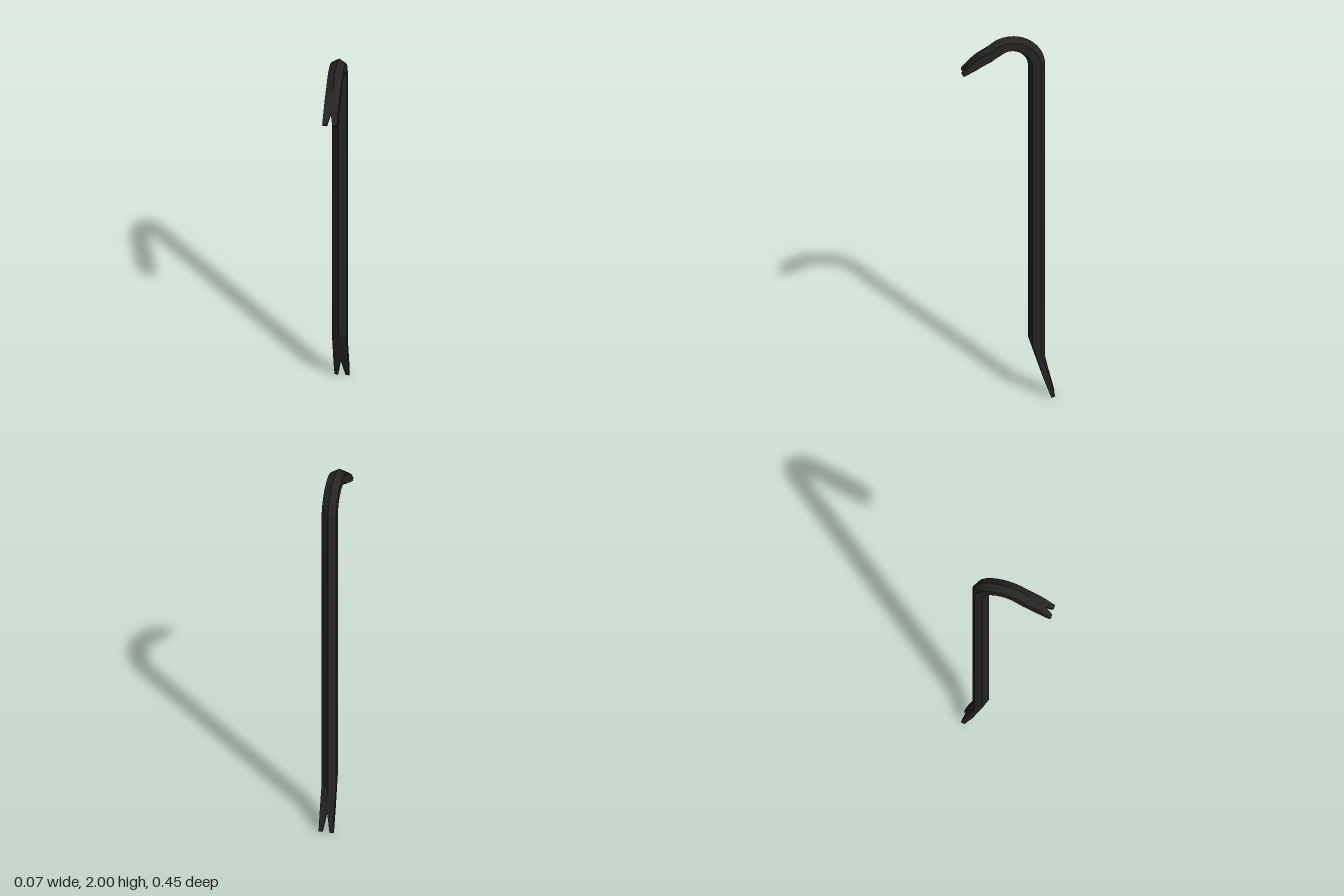
import * as THREE from 'three';
import { toCreasedNormals } from 'three/addons/utils/BufferGeometryUtils.js';

const W = 0.036;          // half width of the bar
const R = 0.0416;         // hexagon corner radius
const AXIS = -0.138;      // z of the shaft axis
const BEND_Y = 1.84, BEND_Z = -0.02, BEND_R = 0.118;

// A section spans two ridge points [z, y]; flat runs from 0.5 (hexagon) to 1 (rectangle),
// gap is the half width of the nail notch.
const section = (outer, inner, flat = 0.5, gap = 0) => ({ outer, inner, flat, gap });

// Corners of the right-hand half of a section, mirrored by sign
function corners({ outer, inner, flat, gap }, sign) {
  const at = (x, k) => {
    const t = (1 - k) / 2;
    return [sign * x,
      outer[1] + (inner[1] - outer[1]) * t,
      outer[0] + (inner[0] - outer[0]) * t];
  };
  return [at(gap, 1), at(W, flat), at(W, -flat), at(gap, -1)];
}

// Skin a run of sections, one half at a time, leaving the notch open between halves
function loft(name, sections, material, capStart = false, capEnd = false) {
  const pos = [];
  for (const sign of [1, -1]) {
    const quad = (a, b, c, d) => {
      const tris = sign > 0 ? [a, b, c, a, c, d] : [a, c, b, a, d, c];
      tris.forEach((p) => pos.push(...p));
    };
    const rings = sections.map((s) => corners(s, sign));
    for (let i = 0; i < rings.length - 1; i++) {
      const p = rings[i], q = rings[i + 1];
      const notched = sections[i].gap > 0 || sections[i + 1].gap > 0;
      for (let j = 0; j < (notched ? 4 : 3); j++) {
        const k = (j + 1) % 4;
        quad(p[j], q[j], q[k], p[k]);
      }
    }
    if (capStart) quad(...rings[0]);
    if (capEnd) quad(...rings[rings.length - 1].slice().reverse());
  }
  const geometry = new THREE.BufferGeometry();
  geometry.setAttribute('position', new THREE.Float32BufferAttribute(pos, 3));
  const mesh = new THREE.Mesh(toCreasedNormals(geometry, 0.6), material);
  mesh.name = name;
  return mesh;
}

export function createModel() {
  const group = new THREE.Group();
  group.name = 'pryBar';
  const steel = new THREE.MeshStandardMaterial({ color: 0x242424 });

  // Straight hexagonal shaft, its lower end cut on the slant of the claw bend
  const shaftFoot = section([AXIS - R, 0.215], [AXIS + R, 0.328]);
  const shaftTop = section([AXIS - R, BEND_Y], [AXIS + R, BEND_Y]);
  group.add(loft('shaft', [shaftFoot, shaftTop], steel));

  // Lower claw: flattens toward a notched tip leaning backward
  group.add(loft('lowerClaw', [
    section([-0.226, 0.006], [-0.208, 0], 1, 0.018),
    section([-0.202, 0.11], [-0.168, 0.11], 0.95, 0),
    shaftFoot,
  ], steel, true));

  // Hook: arc over the top of the shaft
  const arc = [];
  const steps = 14;
  for (let i = 0; i <= steps; i++) {
    const a = THREE.MathUtils.degToRad(-90 + (135 * i) / steps);
    const point = (r) => [BEND_Z + r * Math.sin(a), BEND_Y + r * Math.cos(a)];
    arc.push(section(point(BEND_R + R), point(BEND_R - R)));
  }
  group.add(loft('hook', arc, steel));

  // Upper claw: tapers forward and down to a notched tip
  group.add(loft('upperClaw', [
    arc[steps],
    section([0.122, 0.93 + 1], [0.073, 1.868], 0.6),
    section([0.155, 1.895], [0.12, 1.855], 0.85),
    section([0.188, 1.858], [0.152, 1.838], 1),
    section([0.226, 1.815], [0.216, 1.802], 1, 0.013),
  ], steel, false, true));

  return group;
}
